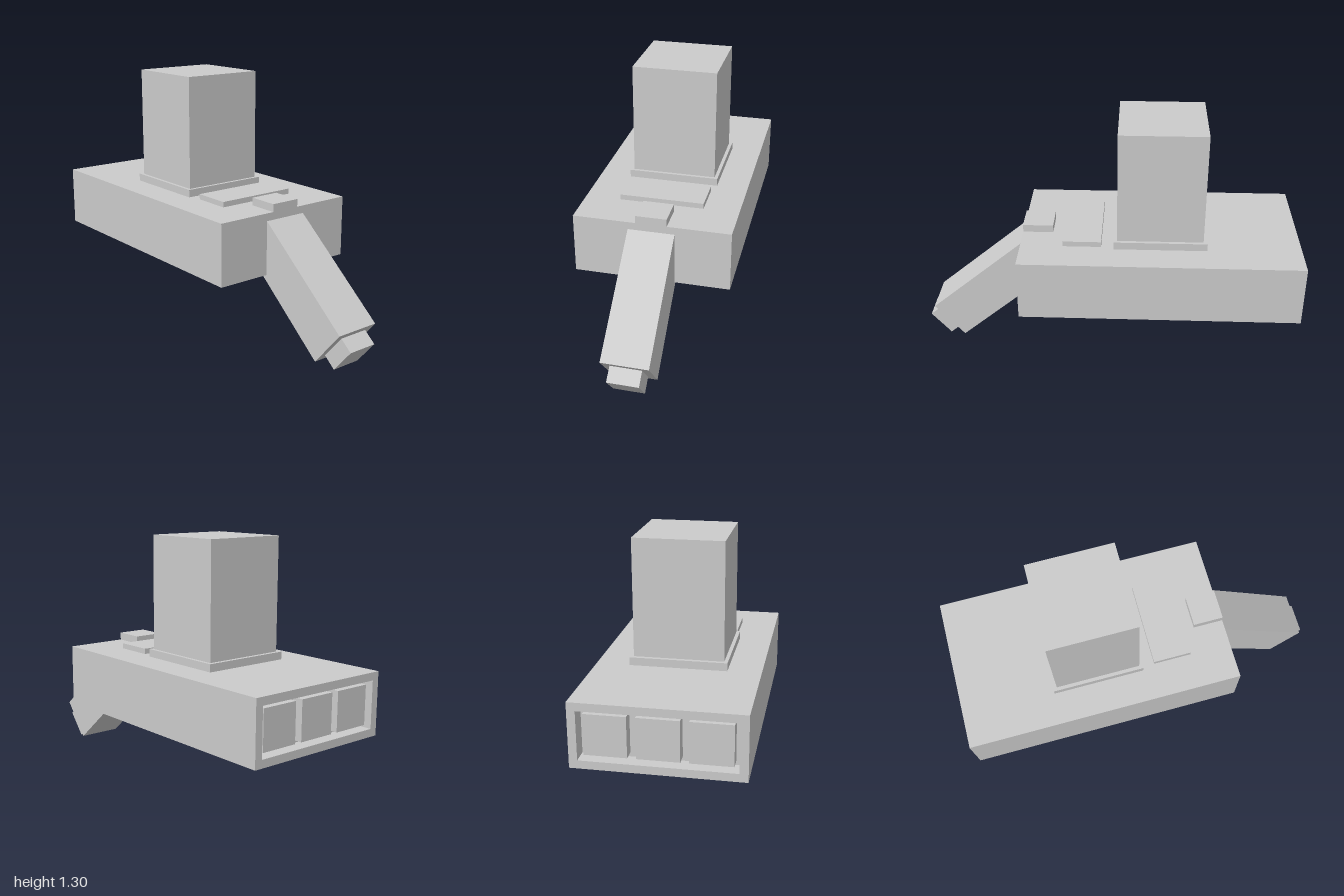
import * as THREE from 'three';

const material = new THREE.MeshStandardMaterial({ color: 0xcccccc, flatShading: true });

function add(parent, name, geometry, x, y, z) {
  const mesh = new THREE.Mesh(geometry, material);
  mesh.name = name;
  mesh.position.set(x, y, z);
  parent.add(mesh);
  return mesh;
}

// Box given by its width and its y and z extents, centred on x
function slab(parent, name, width, y0, y1, z0, z1, x = 0) {
  const geometry = new THREE.BoxGeometry(width, y1 - y0, z1 - z0);
  return add(parent, name, geometry, x, (y0 + y1) / 2, (z0 + z1) / 2);
}

function rectangle(PathType, w, h) {
  return new PathType([
    new THREE.Vector2(-w / 2, -h / 2), new THREE.Vector2(w / 2, -h / 2),
    new THREE.Vector2(w / 2, h / 2), new THREE.Vector2(-w / 2, h / 2),
  ]);
}

export function createModel() {
  const model = new THREE.Group();
  model.name = 'model';

  // Main body, with a hollow frame at the back
  const recess = 0.08;
  slab(model, 'body', 0.81, 0.36, 0.68, -1 + recess, 0.45);
  const frame = rectangle(THREE.Shape, 0.81, 0.32);
  frame.holes.push(rectangle(THREE.Path, 0.73, 0.24));
  add(model, 'rearFrame',
    new THREE.ExtrudeGeometry(frame, { depth: recess, bevelEnabled: false }), 0, 0.52, -1);

  // Three blocks set in the rear recess
  for (const i of [-1, 0, 1]) {
    slab(model, 'rearBlock', 0.2, 0.42, 0.62, -0.98, -1 + recess, i * 0.24);
  }

  // Tower on its collar
  slab(model, 'collar', 0.48, 0.68, 0.72, -0.515, -0.035);
  slab(model, 'tower', 0.444, 0.72, 1.307, -0.495, -0.052);

  // Plates on the top
  slab(model, 'topPlate', 0.44, 0.68, 0.708, 0.03, 0.23);
  slab(model, 'frontPlate', 0.16, 0.68, 0.72, 0.29, 0.45);

  // Sloping arm with a narrower tip, built along +z from the arm's end
  const arm = new THREE.Group();
  arm.name = 'arm';
  arm.position.set(0, 0.117, 0.887);
  arm.rotation.x = THREE.MathUtils.degToRad(40);
  slab(arm, 'armBeam', 0.24, -0.12, 0.12, -0.72, 0);
  slab(arm, 'armTip', 0.16, -0.08, 0.08, 0, 0.08);
  model.add(arm);

  return model;
}
